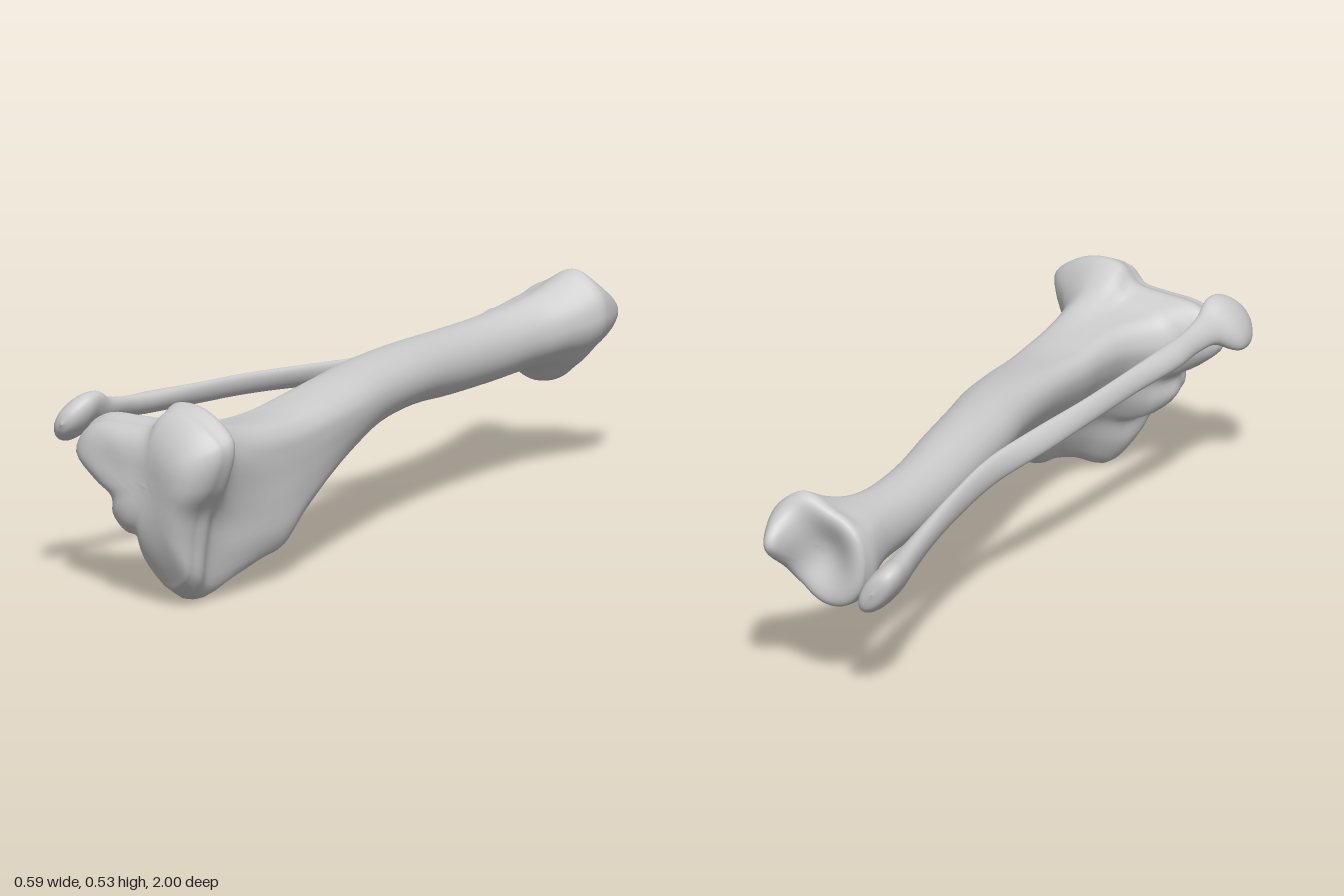
import * as THREE from 'three';

const material = new THREE.MeshStandardMaterial({ color: 0xcccccc, roughness: 0.8 });
const SIDES = 80;
const bump = (x, y, cx, cy, rx, ry) => Math.exp(-(((x - cx) / rx) ** 2) - ((y - cy) / ry) ** 2);
const over = v => Math.max(0, v) ** 2;

// Closed smooth outline, resampled and scaled to a unit bounding box
function outline(flat) {
  const pts = [];
  for (let i = 0; i < flat.length; i += 2) pts.push(new THREE.Vector3(flat[i], flat[i + 1], 0));
  const curve = new THREE.CatmullRomCurve3(pts, true);
  const ring = Array.from({ length: SIDES }, (_, j) => curve.getPoint(j / SIDES));
  const box = new THREE.Box3().setFromPoints(ring);
  const size = box.getSize(new THREE.Vector3());
  return ring.map(p => new THREE.Vector2((p.x - box.min.x) / size.x, (p.y - box.min.y) / size.y));
}

// Smooth skin through rings ordered from +z to -z
function skin(rings, steps, name) {
  const n = (rings.length - 1) * steps;
  const strands = rings[0].map((_, j) =>
    new THREE.CatmullRomCurve3(rings.map(r => r[j])).getPoints(n));
  const pos = [], index = [];
  for (let i = 0; i <= n; i++) for (const s of strands) pos.push(s[i].x, s[i].y, s[i].z);
  for (let i = 0; i < n; i++) {
    for (let j = 0; j < SIDES; j++) {
      const k = (j + 1) % SIDES;
      const a = i * SIDES + j, b = i * SIDES + k, c = a + SIDES, d = b + SIDES;
      index.push(a, c, b, b, c, d);
    }
  }
  const geo = new THREE.BufferGeometry();
  geo.setAttribute('position', new THREE.Float32BufferAttribute(pos, 3));
  geo.setIndex(index);
  geo.computeVertexNormals();
  const mesh = new THREE.Mesh(geo, material);
  mesh.name = name;
  return mesh;
}

// Rings shrinking to a centre over an end surface, with a rounded rim
function cap(ring, cx, cy, face) {
  return [0.98, 0.93, 0.85, 0.74, 0.6, 0.45, 0.3, 0.15, 0].map(s => ring.map(p => {
    const x = cx + (p.x - cx) * s, y = cy + (p.y - cy) * s;
    return new THREE.Vector3(x, y, THREE.MathUtils.lerp(p.z, face(x, y), Math.sqrt(1 - s ** 5)));
  }));
}

// Cross-section shapes: knee end, crested shaft, round shaft, ankle end
const knee = outline([
  0.295, 0.45, 0.25, 0.5, 0.17, 0.535, 0.09, 0.53, 0.05, 0.485, -0.03, 0.475, -0.13, 0.467,
  -0.19, 0.43, -0.217, 0.365, -0.15, 0.295, -0.085, 0.25, -0.08, 0.195, -0.04, 0.15, 0.005, 0.14,
  0.025, 0.07, 0.1, 0, 0.17, 0.04, 0.19, 0.15, 0.21, 0.24, 0.265, 0.33]);
const crest = outline([
  0.21, 0.36, 0.205, 0.41, 0.18, 0.445, 0.14, 0.455, 0.1, 0.455, 0.06, 0.45, 0.03, 0.445,
  0.01, 0.43, 0, 0.4, 0.005, 0.36, 0.02, 0.32, 0.045, 0.27, 0.07, 0.23, 0.09, 0.19,
  0.11, 0.14, 0.14, 0.095, 0.18, 0.09, 0.205, 0.14, 0.21, 0.22, 0.21, 0.3]);
const round = outline(Array.from({ length: 20 }, (_, i) => i * Math.PI / 10)
  .flatMap(a => [Math.cos(a), Math.sin(a)]));
const ankle = outline([
  0.2, 0.42, 0.19, 0.47, 0.155, 0.51, 0.11, 0.535, 0.07, 0.53, 0.02, 0.5, -0.03, 0.475,
  -0.065, 0.44, -0.08, 0.39, -0.08, 0.33, -0.065, 0.28, -0.035, 0.245, 0, 0.232, 0.04, 0.235,
  0.07, 0.25, 0.1, 0.275, 0.13, 0.3, 0.155, 0.33, 0.18, 0.36, 0.195, 0.39]);
const shapes = [knee, crest, round, ankle, ankle];

function shinBone() {
  // z, shape blend, x min, x max, y min, y max
  const stations = [
    [0.905, 0, -0.21, 0.288, 0.045, 0.52],
    [0.87, 0, -0.217, 0.295, 0.022, 0.536],
    [0.83, 0.1, -0.16, 0.25, 0.003, 0.515],
    [0.79, 0.3, -0.1, 0.222, 0, 0.485],
    [0.7, 0.7, -0.03, 0.21, 0.043, 0.45],
    [0.6, 0.95, -0.005, 0.208, 0.075, 0.432],
    [0.52, 1, 0, 0.208, 0.09, 0.426],
    [0.43, 1.15, 0.002, 0.206, 0.148, 0.429],
    [0.3, 1.4, -0.003, 0.202, 0.215, 0.443],
    [0.15, 1.7, -0.015, 0.188, 0.267, 0.458],
    [0, 1.9, -0.037, 0.162, 0.295, 0.465],
    [-0.2, 2, -0.052, 0.135, 0.302, 0.465],
    [-0.4, 2, -0.06, 0.112, 0.287, 0.457],
    [-0.6, 2.1, -0.06, 0.11, 0.281, 0.458],
    [-0.72, 2.4, -0.065, 0.128, 0.276, 0.475],
    [-0.8, 2.75, -0.075, 0.165, 0.262, 0.497],
    [-0.85, 3, -0.08, 0.19, 0.235, 0.517],
    [-0.885, 3, -0.074, 0.202, 0.232, 0.534]];
  const rings = stations.map(([z, f, x0, x1, y0, y1]) => {
    const k = Math.floor(f), lean = 0.12 * THREE.MathUtils.smoothstep(z, 0.7, 0.87);
    return shapes[k].map((p, j) => {
      const q = p.clone().lerp(shapes[k + 1][j], f - k);
      const x = x0 + q.x * (x1 - x0), y = y0 + q.y * (y1 - y0);
      return new THREE.Vector3(x, y, z + lean * (x - 0.1));
    });
  });
  // Knee joint surface: domed towards the edges, with two shallow dishes
  const kneeFace = (x, y) => 0.98 + 0.12 * (x - 0.1)
    - 1.2 * over(0.28 - y) - 1.6 * over(y - 0.37) - 2.5 * over(x - 0.18)
    + 0.015 * bump(x, y, 0.18, 0.36, 0.1, 0.12)
    - 0.012 * bump(x, y, 0.05, 0.38, 0.07, 0.12) - 0.012 * bump(x, y, -0.08, 0.38, 0.08, 0.07);
  // Ankle joint surface: hollow, with a hooked inner knob
  const ankleFace = (x, y) => -0.925 + 0.05 * bump(x, y, 0.04, 0.37, 0.08, 0.1)
    - 0.088 * bump(x, y, 0.162, 0.41, 0.05, 0.075);
  return skin([
    ...cap(rings[0], 0.08, 0.32, kneeFace).reverse(),
    ...rings,
    ...cap(rings[rings.length - 1], 0.06, 0.39, ankleFace)], 4, 'shinBone');
}

function calfBone() {
  // z, centre x, centre y, long radius, short radius, tilt
  const stations = [
    [0.915, -0.235, 0.435, 0.002, 0.001, 0.9],
    [0.9, -0.236, 0.437, 0.04, 0.024, 0.9],
    [0.86, -0.236, 0.44, 0.075, 0.038, 0.9],
    [0.81, -0.235, 0.443, 0.078, 0.036, 0.9],
    [0.76, -0.217, 0.444, 0.045, 0.028, 0.9],
    [0.68, -0.21, 0.438, 0.033, 0.021, 1],
    [0.58, -0.203, 0.431, 0.034, 0.025, 0.9],
    [0.4, -0.18, 0.422, 0.031, 0.018, 1.2],
    [0.2, -0.157, 0.412, 0.031, 0.017, 1.2],
    [0, -0.123, 0.397, 0.034, 0.018, 1.1],
    [-0.2, -0.086, 0.378, 0.036, 0.017, 1.4],
    [-0.4, -0.086, 0.36, 0.036, 0.017, 1.5],
    [-0.6, -0.1, 0.343, 0.038, 0.024, 1.7],
    [-0.75, -0.116, 0.329, 0.054, 0.032, 2],
    [-0.85, -0.126, 0.32, 0.073, 0.039, 2.15],
    [-0.92, -0.129, 0.318, 0.081, 0.039, 2.2],
    [-0.955, -0.129, 0.317, 0.06, 0.028, 2.2],
    [-0.967, -0.129, 0.317, 0.002, 0.001, 2.2]];
  const rings = stations.map(([z, cx, cy, a, b, tilt]) =>
    Array.from({ length: SIDES }, (_, j) => {
      const t = j / SIDES * Math.PI * 2 - tilt;
      const u = a * Math.cos(t), v = b * Math.sin(t);
      return new THREE.Vector3(cx + u * Math.cos(tilt) - v * Math.sin(tilt),
        cy + u * Math.sin(tilt) + v * Math.cos(tilt), z);
    }));
  return skin(rings, 5, 'calfBone');
}

export function createModel() {
  const group = new THREE.Group();
  group.name = 'lowerLegBones';
  group.add(shinBone(), calfBone());
  return group;
}
